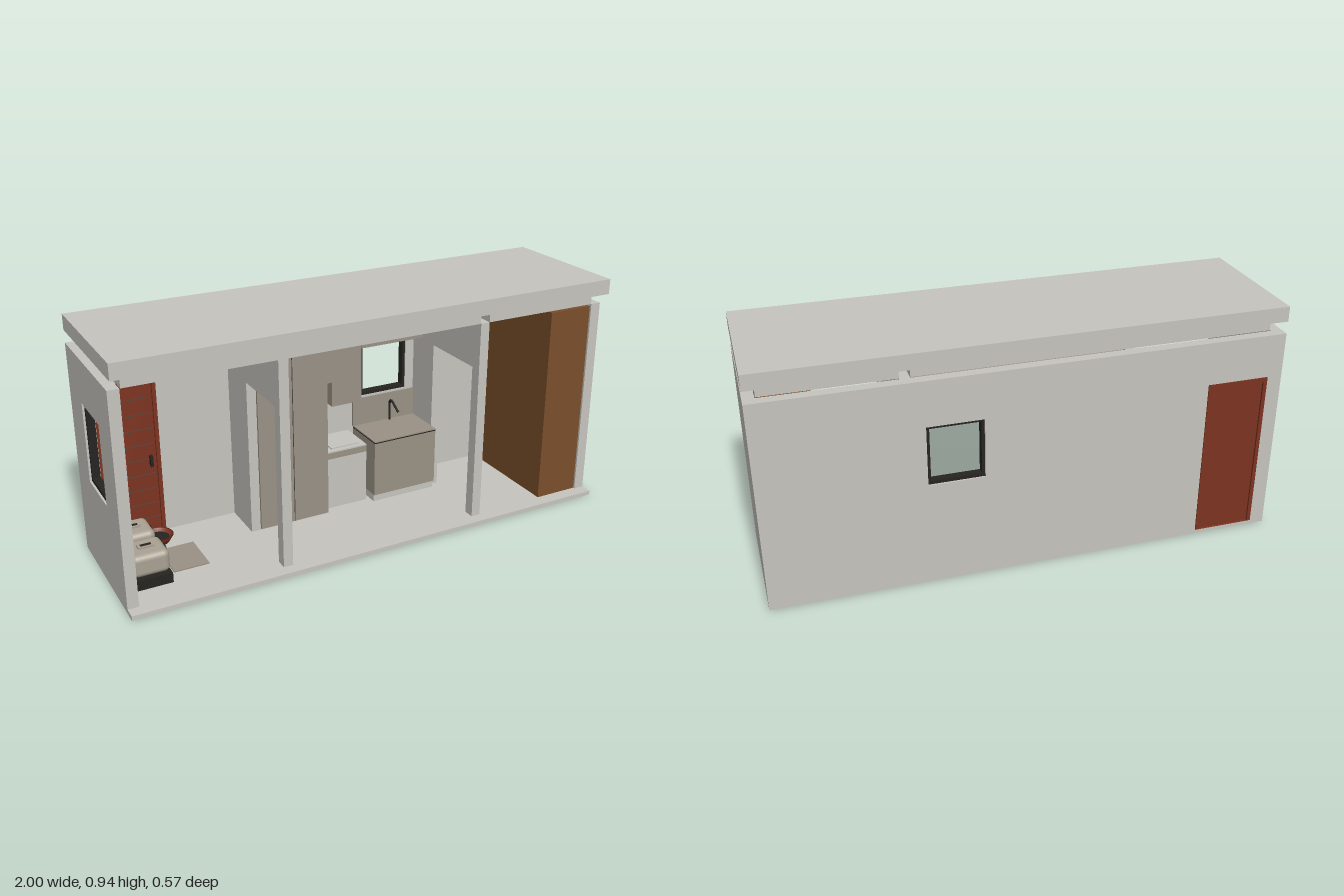
import * as THREE from 'three';
import { RoundedBoxGeometry } from 'three/addons/geometries/RoundedBoxGeometry.js';

const flat = (name, color) => {
  const m = new THREE.MeshStandardMaterial({ color });
  m.name = name;
  return m;
};

export function createModel() {
  const root = new THREE.Group();
  root.name = 'house';
  const wall = flat('pale concrete', 0xc6c4be);
  const cabinet = flat('taupe cabinet', 0x9a9185);
  const red = flat('red door', 0x7c3321);
  const brown = flat('brown wood', 0x7a4e2b);
  const dark = flat('black trim', 0x262421);
  const beige = flat('beige plastic', 0xa9a193);
  const seam = flat('dark seam', 0x4f4942);

  const add = (name, geo, mat, parent = root) => {
    const m = new THREE.Mesh(geo, mat);
    m.name = name;
    parent.add(m);
    return m;
  };
  // box given by its minimum and maximum on each axis
  const box = (name, mat, x0, x1, y0, y1, z0, z1, parent) => {
    const m = add(name, new THREE.BoxGeometry(x1 - x0, y1 - y0, z1 - z0), mat, parent);
    m.position.set((x0 + x1) / 2, (y0 + y1) / 2, (z0 + z1) / 2);
    return m;
  };
  const rect = (a0, a1, b0, b1) =>
    [[a0, b0], [a1, b0], [a1, b1], [a0, b1]].map(p => new THREE.Vector2(...p));
  const panel = (outline, holes, depth) => {
    const s = new THREE.Shape(outline);
    holes.forEach(h => s.holes.push(new THREE.Path(h)));
    return new THREE.ExtrudeGeometry(s, { depth, bevelEnabled: false });
  };
  // panel drawn in z and y, whose +x face lies at x
  const sidePanel = (name, mat, outline, holes, x, depth) => {
    const m = add(name, panel(outline, holes, depth), mat);
    m.rotation.y = -Math.PI / 2;
    m.position.x = x;
    return m;
  };

  // slabs
  const F = 0.018, T = 0.837, IN = -0.24;
  box('floor', wall, -1, 1, 0, F, -0.281, 0.287);
  box('roof', wall, -1, 1, 0.885, 0.945, -0.281, 0.287);
  box('ceilingSlab', wall, -0.955, 0.43, T, 0.885, -0.235, 0.24);
  box('ceilingSlab', wall, 0.47, 0.955, T, 0.885, -0.235, 0.24);

  // outer walls
  const backWindow = rect(0.178, 0.392, 0.42, 0.657);
  const sideWindow = rect(-0.122, 0.09, 0.355, 0.662);
  const doorway = rect(-0.94, -0.695, F + 0.001, 0.665);
  add('backWall', panel(rect(-1, 1, F, T), [backWindow, doorway], 0.041), wall).position.z = -0.281;
  sidePanel('windowWall', wall, rect(IN, 0.24, F, T), [sideWindow], -0.958, 0.042);
  box('endWall', wall, 0.957, 1, F, T, IN, 0.24);

  // inner walls, each with a doorway near the front
  for (const [x, z] of [[-0.365, -0.06], [0.47, -0.085]]) {
    const outline = [[IN, F], [z, F], [z, 0.65], [0.195, 0.65], [0.195, F], [0.24, F], [0.24, T], [IN, T]]
      .map(p => new THREE.Vector2(...p));
    sidePanel('innerWall', wall, outline, [], x, 0.038);
  }

  // window frames
  const backFrame = panel(backWindow, [rect(0.19, 0.38, 0.434, 0.646)], 0.03);
  add('backWindowFrame', backFrame, dark).position.z = -0.274;
  sidePanel('sideWindowFrame', dark, sideWindow, [rect(-0.11, 0.078, 0.369, 0.651)], -0.962, 0.03);

  // red back door with frame, board seams and handle
  const door = new THREE.Group();
  door.name = 'backDoor';
  root.add(door);
  const frame = panel(rect(-0.94, -0.695, F, 0.665), [rect(-0.925, -0.71, F + 0.001, 0.648)], 0.05);
  add('doorFrame', frame, red, door).position.z = -0.285;
  box('doorLeaf', red, -0.925, -0.71, F, 0.648, -0.277, -0.245, door);
  for (let i = 1; i < 10; i++) {
    const y = F + i * 0.063;
    box('boardSeam', seam, -0.92, -0.715, y, y + 0.003, -0.245, -0.243, door);
  }
  box('doorTopGap', dark, -0.925, -0.71, 0.643, 0.648, -0.245, -0.242, door);
  box('doorHandle', dark, -0.738, -0.727, 0.305, 0.35, -0.245, -0.228, door);

  // tall cupboard
  box('tallCupboard', cabinet, -0.365, -0.07, 0.025, 0.828, IN, -0.05);
  box('cupboardSeam', seam, -0.221, -0.218, 0.025, 0.828, -0.05, -0.049);
  box('cupboardFoot', wall, -0.365, -0.07, F, 0.025, IN, -0.06);

  // wall cupboards
  box('wallCupboard', cabinet, -0.07, 0.145, 0.535, 0.828, IN, -0.17);
  box('lowWallCupboard', cabinet, 0.01, 0.145, 0.43, 0.535, IN, -0.17);
  box('overWindowCupboard', cabinet, 0.147, 0.432, 0.657, T, IN, -0.17);

  // washing machine
  box('washer', wall, -0.055, 0.12, 0.025, 0.245, IN, -0.08);
  box('washerPanel', cabinet, -0.055, 0.12, 0.245, 0.272, IN, -0.08);
  box('washerTop', wall, -0.055, 0.12, 0.272, 0.278, IN, -0.08);
  box('washerLid', wall, -0.03, 0.095, 0.278, 0.283, -0.2, -0.1);

  // sink unit, splashback and tap
  box('sinkPlinth', wall, 0.145, 0.432, F, 0.05, IN, -0.06);
  box('sinkUnit', cabinet, 0.143, 0.432, 0.05, 0.284, IN, -0.05);
  box('worktopEdge', dark, 0.143, 0.432, 0.284, 0.288, IN, -0.049);
  box('worktop', cabinet, 0.143, 0.432, 0.288, 0.293, IN, -0.05);
  box('splashback', cabinet, 0.14, 0.432, 0.293, 0.412, IN, -0.234);
  const tapPath = new THREE.CatmullRomCurve3([
    new THREE.Vector3(0.313, 0.293, -0.226), new THREE.Vector3(0.313, 0.375, -0.226),
    new THREE.Vector3(0.313, 0.383, -0.216), new THREE.Vector3(0.313, 0.35, -0.153)]);
  add('tap', new THREE.TubeGeometry(tapPath, 24, 0.005, 8), dark);

  // brown wardrobe along the end wall
  box('wardrobe', brown, 0.77, 0.957, F, 0.826, IN, 0.232);

  // two portable tanks on black trays
  for (const z of [0.07, -0.09]) {
    const tank = new THREE.Group();
    tank.name = 'portableTank';
    tank.position.set(-0.87, F, z);
    root.add(tank);
    box('tray', dark, -0.072, 0.072, 0, 0.04, -0.075, 0.075, tank);
    add('tankBody', new RoundedBoxGeometry(0.14, 0.088, 0.135, 4, 0.022), beige, tank).position.y = 0.086;
    for (const s of [-1, 1]) {
      const cap = add('endCap', new THREE.CylinderGeometry(0.032, 0.032, 0.008, 24), dark, tank);
      cap.rotation.z = Math.PI / 2;
      cap.position.set(s * 0.069, 0.085, 0);
    }
    box('tankHandle', beige, -0.03, 0.03, 0.13, 0.137, -0.014, 0.014, tank);
    box('handleSlot', dark, -0.02, 0.02, 0.137, 0.139, -0.006, 0.006, tank);
  }

  // red bowl and floor mat
  const bowlProfile = [[0, 0], [0.04, 0], [0.058, 0.03], [0.05, 0.03], [0.036, 0.008], [0, 0.008]]
    .map(p => new THREE.Vector2(...p));
  add('bowl', new THREE.LatheGeometry(bowlProfile, 28), red).position.set(-0.75, F, -0.163);
  const filling = add('bowlFilling', new THREE.CylinderGeometry(0.043, 0.038, 0.008, 28), dark);
  filling.position.set(-0.75, F + 0.014, -0.163);
  box('floorMat', cabinet, -0.775, -0.637, F, F + 0.005, -0.09, 0.085);

  return root;
}
